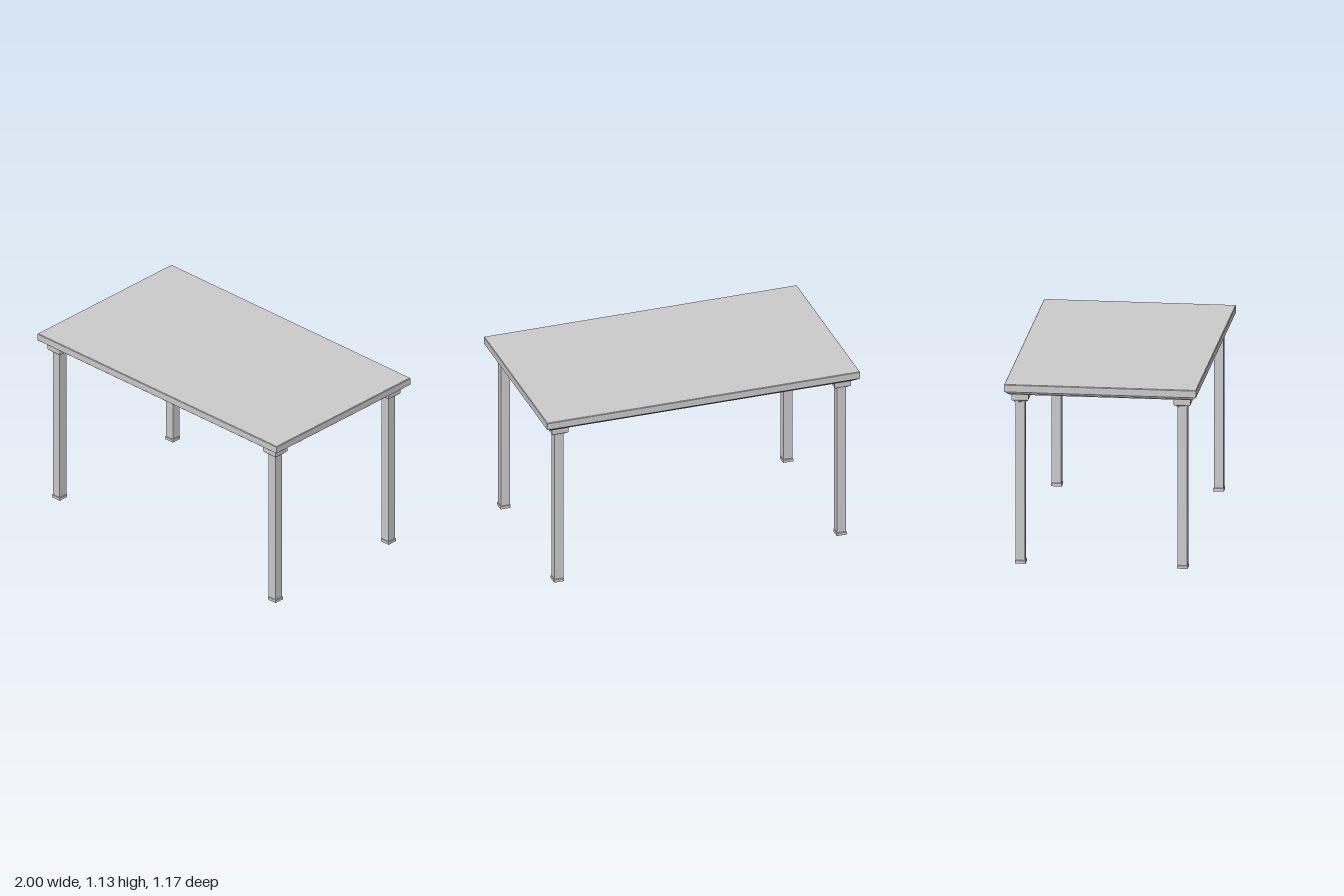
import * as THREE from 'three';

const material = new THREE.MeshStandardMaterial({ color: 0xcccccc, flatShading: true });

// Stacks rectangles [halfX, halfZ, y] from bottom to top into a closed, hard-edged solid.
function rectLoft(name, sections) {
  const rings = sections.map(([a, b, y]) => [[-a, y, b], [a, y, b], [a, y, -b], [-a, y, -b]]);
  const pos = [];
  const quad = (a, b, c, d) => pos.push(...a, ...b, ...c, ...a, ...c, ...d);
  for (let i = 0; i < rings.length - 1; i++) {
    for (let k = 0; k < 4; k++) {
      const n = (k + 1) % 4;
      quad(rings[i][k], rings[i][n], rings[i + 1][n], rings[i + 1][k]);
    }
  }
  const [p, q, r, s] = rings[0];
  quad(s, r, q, p);
  quad(...rings[rings.length - 1]);
  const geometry = new THREE.BufferGeometry();
  geometry.setAttribute('position', new THREE.Float32BufferAttribute(pos, 3));
  geometry.computeVertexNormals();
  const mesh = new THREE.Mesh(geometry, material);
  mesh.name = name;
  return mesh;
}

// Square section profile given as [half width, y]
const squareLoft = (name, profile) => rectLoft(name, profile.map(([h, y]) => [h, h, y]));

// Table top profile given as [inset from the outer edge, y]
const topLoft = (name, profile) => rectLoft(name, profile.map(([i, y]) => [1 - i, 0.584 - i, y]));

function createLeg() {
  const leg = new THREE.Group();
  leg.add(
    squareLoft('foot', [[0.032, 0], [0.032, 0.018], [0.029, 0.021]]),
    squareLoft('shaft', [[0.029, 0.018], [0.029, 1.014]]),
    squareLoft('neck', [[0.031, 1.012], [0.036, 1.014], [0.036, 1.024]]),
    squareLoft('capital', [[0.044, 1.022], [0.049, 1.025], [0.052, 1.032], [0.052, 1.066]]),
  );
  return leg;
}

export function createModel() {
  const table = new THREE.Group();
  table.name = 'table';

  // Slab with a slightly eased rim
  table.add(topLoft('tableTop', [[0.003, 1.086], [0, 1.089], [0, 1.131], [0.003, 1.135]]));

  // Rounded moulding with a thin bottom fillet under the slab
  table.add(topLoft('moulding', [
    [0.029, 1.066], [0.027, 1.071], [0.022, 1.072], [0.017, 1.075], [0.012, 1.081], [0.010, 1.087],
  ]));

  // Four corner legs
  for (const x of [-1, 1]) {
    for (const z of [-1, 1]) {
      const leg = createLeg();
      leg.name = (z > 0 ? 'front' : 'back') + (x > 0 ? 'Left' : 'Right') + 'Leg';
      leg.position.set(x * 0.903, 0, z * 0.493);
      table.add(leg);
    }
  }
  return table;
}
